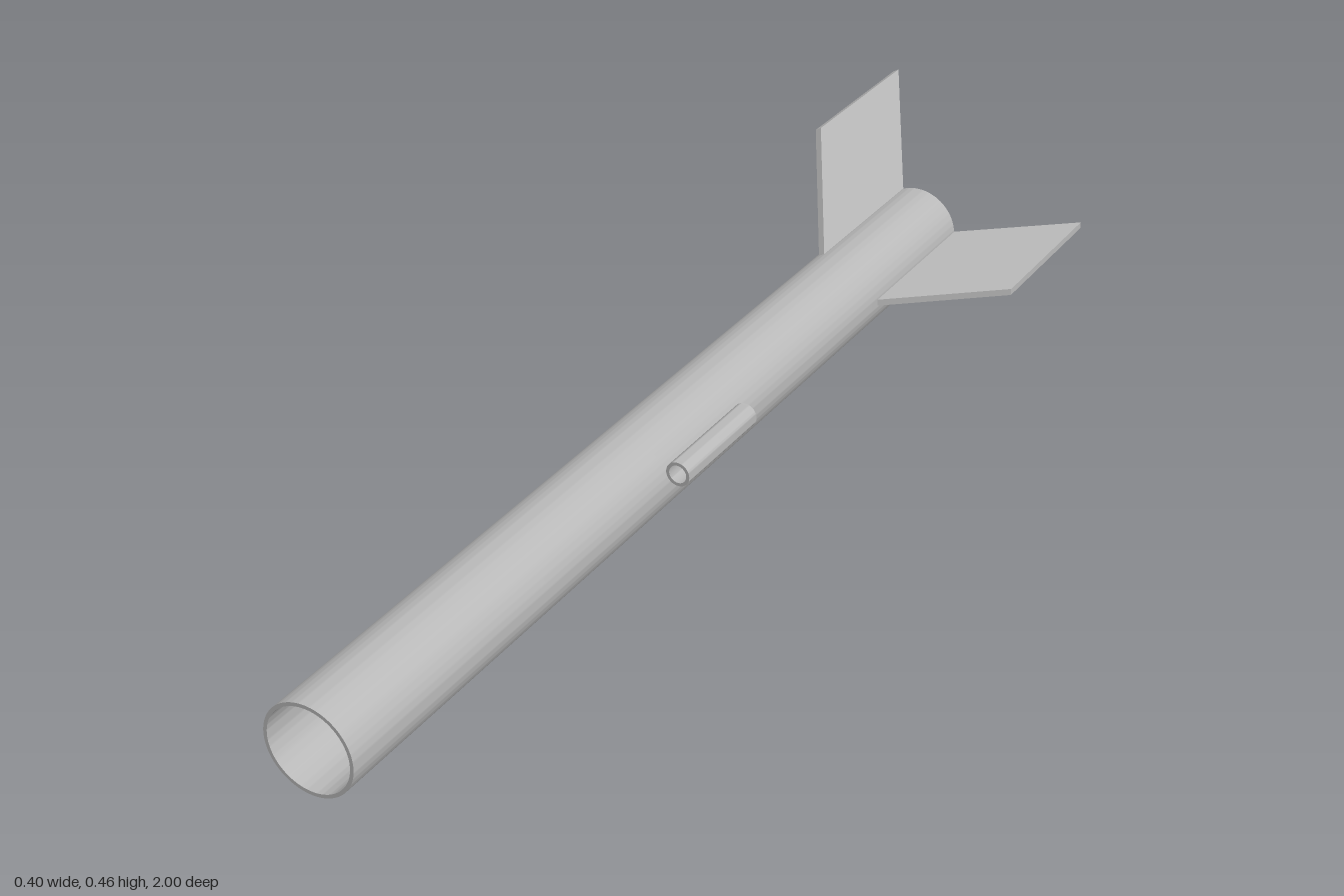
import * as THREE from 'three';
import { toCreasedNormals } from 'three/addons/utils/BufferGeometryUtils.js';

const grey = new THREE.MeshStandardMaterial({ color: 0xb8b8b8 });
grey.name = 'grey';

// Open tube along z with a visible wall thickness
function tube(name, outer, inner, back, front, segments) {
  const ring = new THREE.Shape().absarc(0, 0, outer, 0, Math.PI * 2);
  ring.holes.push(new THREE.Path().absarc(0, 0, inner, 0, Math.PI * 2, true));
  const geometry = new THREE.ExtrudeGeometry(ring, {
    depth: front - back, bevelEnabled: false, curveSegments: segments,
  });
  geometry.translate(0, 0, back);
  const mesh = new THREE.Mesh(toCreasedNormals(geometry, 0.7), grey);
  mesh.name = name;
  return mesh;
}

// Swept-back flat fin, lying along +x from the body wall
function finGeometry(thickness) {
  const outline = new THREE.Shape([
    new THREE.Vector2(0.074, 0.533),
    new THREE.Vector2(0.263, 0.69),
    new THREE.Vector2(0.263, 1.0),
    new THREE.Vector2(0.074, 0.845),
  ]);
  const geometry = new THREE.ExtrudeGeometry(outline, { depth: thickness, bevelEnabled: false });
  geometry.translate(0, 0, -thickness / 2);
  geometry.rotateX(-Math.PI / 2);
  return geometry;
}

export function createModel() {
  const model = new THREE.Group();
  model.name = 'modelRocket';

  // Everything is placed around the body axis
  const rocket = new THREE.Group();
  rocket.name = 'rocket';
  rocket.position.set(-0.063, 0.231, 0);
  model.add(rocket);

  rocket.add(tube('bodyTube', 0.076, 0.07, -0.845, 1, 64));

  // Launch lug touching the side of the body
  const lug = tube('launchLug', 0.021, 0.0155, -0.03, 0.183, 32);
  lug.position.set(0.093, 0.031, 0);
  rocket.add(lug);

  // Three fins, evenly spaced
  const geometry = finGeometry(0.012);
  ['leftFin', 'upperRightFin', 'lowerRightFin'].forEach((name, i) => {
    const fin = new THREE.Mesh(geometry, grey);
    fin.name = name;
    fin.rotation.z = (i * Math.PI * 2) / 3;
    rocket.add(fin);
  });

  return model;
}
